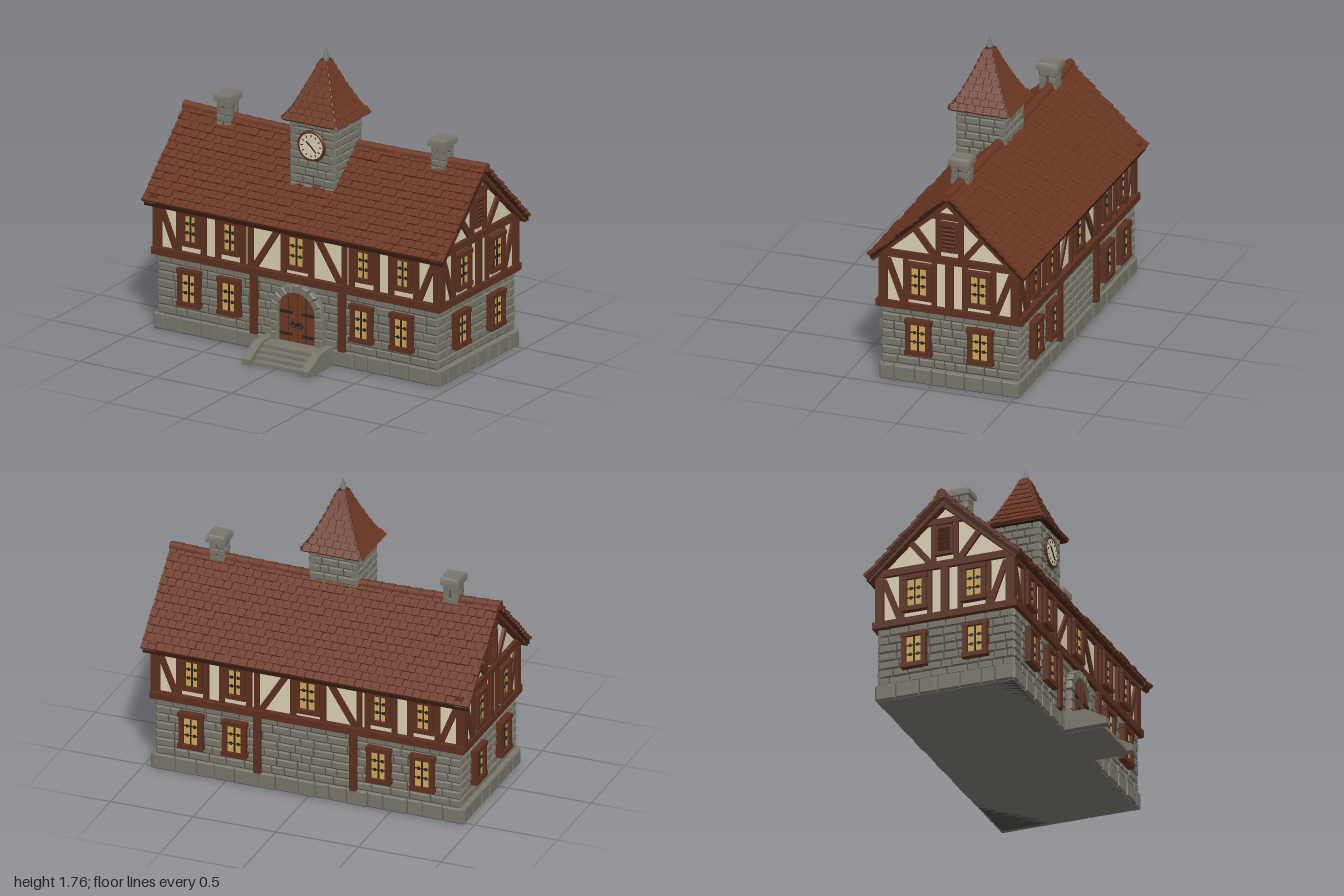
import * as THREE from 'three';
import { mergeGeometries } from 'three/addons/utils/BufferGeometryUtils.js';

const mat = (name, color) => Object.assign(new THREE.MeshStandardMaterial({ color }), { name });
const M = {
  stone: mat('stone', 0x78766a), mortar: mat('mortar', 0x4d4b43), plaster: mat('plaster', 0xd9cfb2),
  timber: mat('timber', 0x5c301f), roof: mat('roof tile', 0x6a3622), gap: mat('tile gap', 0x331a11),
  glass: mat('lit glass', 0xcfa75a), door: mat('door wood', 0x713a24), iron: mat('iron', 0x2c2521),
};
let seed = 7;
const rnd = () => (seed = (seed * 16807) % 2147483647) / 2147483647;

// Merge a list of geometries into one named mesh
function add(parent, name, material, geos) {
  const mesh = new THREE.Mesh(mergeGeometries(geos.map(g => (g.index ? g.toNonIndexed() : g))), material);
  mesh.name = name;
  parent.add(mesh);
  return mesh;
}
const box = (w, h, d, x, y, z) => new THREE.BoxGeometry(w, h, d).translate(x, y, z);
// Straight timber between two points on a wall
function beam(x1, y1, x2, y2, w, d, z) {
  const g = new THREE.BoxGeometry(w, Math.hypot(x2 - x1, y2 - y1), d);
  return g.rotateZ(-Math.atan2(x2 - x1, y2 - y1)).translate((x1 + x2) / 2, (y1 + y2) / 2, z);
}
// Stone with its outer (+z) face drawn in
function block(w, h, d, x, y, z, inset = 0.007) {
  const g = new THREE.BoxGeometry(w, h, d, 1, 1, 2), p = g.attributes.position;
  for (let i = 0; i < p.count; i++) {
    if (p.getZ(i) > 0.001) p.setXY(i, p.getX(i) * (1 - 2 * inset / w), p.getY(i) * (1 - 2 * inset / h));
    else if (p.getZ(i) > -0.001) p.setZ(i, d / 2 - inset);
  }
  g.computeVertexNormals();
  return g.translate(x, y, z);
}
// Courses of stones on a wall face
function courses(half, y0, y1, rows, z, wMin, wMax) {
  const out = [], h = (y1 - y0) / rows;
  for (let r = 0; r < rows; r++) {
    for (let x = -half; x < half - 0.005;) {
      let w = wMin + rnd() * (wMax - wMin);
      if (half - x - w < wMin * 0.7) w = half - x;
      out.push(block(w - 0.004, h - 0.004, 0.04, x + w / 2, y0 + (r + 0.5) * h, z - 0.02 + rnd() * 0.006));
      x += w;
    }
  }
  return out;
}
// Side profile (z, y) swept along x
function sweep(pts, x0, x1, steps = 1) {
  const s = new THREE.Shape(pts.map(([z, y]) => new THREE.Vector2(-z, y)));
  return new THREE.ExtrudeGeometry(s, { depth: x1 - x0, steps, bevelEnabled: false }).rotateY(Math.PI / 2).translate(x0, 0, 0);
}
// Roof tile lying on a slope that falls towards +z
const tile = (w, len, x, y, z, slope) =>
  new THREE.BoxGeometry(w, len, 0.017).rotateX(slope - Math.PI / 2 - 0.16).translate(x, y, z);
// Group whose +z points out of one wall
function side(parent, name, angle) {
  const g = new THREE.Group();
  g.name = name;
  g.rotation.y = angle;
  parent.add(g);
  return g;
}
function windows(parent, name, xs, y0, y1, w, z) {
  const frame = [], glass = [], bars = [], h = y1 - y0, yc = (y0 + y1) / 2, t = 0.027;
  for (const x of xs) {
    glass.push(box(w - t, h - t, 0.008, x, yc, z + 0.012));
    for (const s of [-1, 1]) {
      frame.push(box(t, h, 0.04, x + s * (w - t) / 2, yc, z + 0.012));
      frame.push(box(w + 0.012, t, 0.046, x, yc + s * (h - t) / 2, z + 0.012));
      bars.push(box(w - t, 0.006, 0.008, x, yc + s * h * 0.13, z + 0.016));
      for (const k of [-1, 1]) bars.push(box(0.014, 0.018, 0.008, x + k * w * 0.16, yc + s * h * 0.13, z + 0.017));
    }
    bars.push(box(0.009, h - t, 0.008, x, yc, z + 0.017));
  }
  add(parent, name + 'Glass', M.glass, glass);
  add(parent, name + 'Frames', M.timber, frame);
  add(parent, name + 'Bars', M.iron, bars);
}

export function createModel() {
  const model = new THREE.Group();
  model.name = 'townHall';
  const house = new THREE.Group();
  house.name = 'house';
  house.position.z = -0.108;
  model.add(house);
  add(house, 'wallCore', M.mortar, [box(1.83, 0.45, 0.81, 0, 0.225, 0)]);
  add(house, 'foundation', M.stone, [box(1.86, 0.09, 0.82, 0, 0.045, 0)]);
  add(house, 'plasterWalls', M.plaster,
    [sweep([[-0.4, 0.45], [0.4, 0.45], [0.4, 0.78], [0, 1.14], [-0.4, 0.78]], -0.93, 0.93)]);

  // Long walls
  for (const [name, angle] of [['frontWall', 0], ['backWall', Math.PI]]) {
    const g = side(house, name, angle), T = [];
    add(g, 'plinthStones', M.stone, courses(0.945, 0, 0.097, 1, 0.42, 0.08, 0.15));
    add(g, 'wallStones', M.stone, courses(0.922, 0.097, 0.45, 7, 0.412, 0.06, 0.13));
    windows(g, 'lowerWindow', [-0.7, -0.436, 0.436, 0.7], 0.175, 0.395, 0.14, 0.418);
    windows(g, 'upperWindow', [-0.7, -0.44, 0.44, 0.7], 0.53, 0.74, 0.125, 0.402);
    windows(g, 'middleWindow', [0], 0.52, 0.745, 0.15, 0.402);
    T.push(box(1.9, 0.042, 0.06, 0, 0.467, 0.408), box(1.88, 0.035, 0.05, 0, 0.757, 0.398));
    for (const s of [-1, 1]) {
      for (const x of [0.925, 0.782, 0.618, 0.522, 0.358, 0.31, 0.09]) {
        T.push(box(x > 0.9 ? 0.05 : 0.03, 0.3, 0.05, s * x, 0.61, 0.395));
      }
      T.push(beam(s * 0.905, 0.74, s * 0.8, 0.485, 0.034, 0.04, 0.395));
      T.push(beam(s * 0.125, 0.74, s * 0.285, 0.485, 0.036, 0.04, 0.395));
      T.push(box(0.042, 0.36, 0.05, s * 0.29 + (angle ? -0.012 : 0.012), 0.275, 0.412));
    }
    add(g, 'timberFrame', M.timber, T);
  }

  // Gable walls
  for (const [name, angle] of [['leftGable', Math.PI / 2], ['rightGable', -Math.PI / 2]]) {
    const g = side(house, name, angle), T = [];
    add(g, 'plinthStones', M.stone, courses(0.42, 0, 0.097, 1, 0.945, 0.08, 0.15));
    add(g, 'wallStones', M.stone, courses(0.41, 0.097, 0.45, 7, 0.922, 0.06, 0.13));
    windows(g, 'lowerWindow', [-0.185, 0.185], 0.175, 0.39, 0.145, 0.928);
    windows(g, 'upperWindow', [-0.178, 0.178], 0.52, 0.74, 0.145, 0.932);
    T.push(box(0.85, 0.04, 0.05, 0, 0.466, 0.928), box(0.9, 0.042, 0.05, 0, 0.778, 0.928));
    T.push(box(0.046, 0.28, 0.04, 0, 0.62, 0.93), box(0.24, 0.034, 0.04, 0, 1.045, 0.93));
    for (const s of [-1, 1]) {
      T.push(box(0.045, 0.31, 0.05, s * 0.395, 0.61, 0.922));
      T.push(box(0.028, 0.28, 0.04, s * 0.262, 0.61, 0.925), box(0.028, 0.28, 0.04, s * 0.092, 0.61, 0.925));
      T.push(beam(s * 0.37, 0.74, s * 0.275, 0.49, 0.034, 0.04, 0.925));
      T.push(box(0.028, 0.24, 0.04, s * 0.068, 0.915, 0.925));
      T.push(beam(s * 0.09, 0.8, s * 0.205, 0.945, 0.036, 0.04, 0.928));
      T.push(beam(s * 0.455, 0.745, 0, 1.15, 0.042, 0.07, 0.945));
    }
    // Louvred vent
    for (let i = 0; i < 6; i++) T.push(new THREE.BoxGeometry(0.08, 0.018, 0.012).rotateX(0.5).translate(0, 0.865 + i * 0.024, 0.943));
    for (const s of [-1, 1]) T.push(box(0.105, 0.02, 0.04, 0, 0.925 + s * 0.08, 0.938), box(0.016, 0.17, 0.04, s * 0.046, 0.925, 0.938));
    add(g, 'timberFrame', M.timber, T);
    add(g, 'ventBacking', M.iron, [box(0.09, 0.15, 0.008, 0, 0.925, 0.933)]);
  }

  // Main roof, with a ridge that sags in the middle
  const run = 0.462, rise = 0.415, slope = Math.atan2(rise, run), rows = 13, tiles = [];
  for (const turn of [0, Math.PI]) {
    for (let r = 0; r < rows; r++) {
      const t = (r + 0.5) / rows;
      for (let c = 0; c <= 40; c++) {
        const a = Math.max(-0.995, -1 + (c - (r % 2) * 0.5) * 0.05), b = Math.min(0.995, -1 + (c + 1 - (r % 2) * 0.5) * 0.05);
        if (b - a < 0.012) continue;
        const j = (rnd() - 0.5) * 0.008;
        tiles.push(tile(b - a - 0.005, 0.058, (a + b) / 2, 1.182 - t * rise + j * 0.5, t * run + j, slope).rotateY(turn));
      }
    }
  }
  const ridge = [];
  for (let i = 0; i < 25; i++) {
    ridge.push(new THREE.CylinderGeometry(0.03, 0.026, 0.078, 8).rotateZ(Math.PI / 2).translate(-0.96 + i * 0.08, 1.172, 0));
  }
  const deck = sweep([[0.455, 0.735], [0.455, 0.765], [0, 1.174], [-0.455, 0.765], [-0.455, 0.735], [0, 1.14]], -0.985, 0.985, 16);
  for (const mesh of [add(house, 'roofDeck', M.gap, [deck]), add(house, 'roofTiles', M.roof, tiles), add(house, 'ridgeTiles', M.roof, ridge)]) {
    const p = mesh.geometry.attributes.position;
    for (let i = 0; i < p.count; i++) {
      p.setY(i, p.getY(i) + 0.02 * p.getX(i) ** 2 * THREE.MathUtils.clamp((p.getY(i) - 0.77) / 0.4, 0, 1));
    }
  }

  // Chimneys
  for (const s of [-1, 1]) {
    const ch = side(model, 'chimney', 0);
    ch.position.set(s * 0.708, 0, -0.097);
    add(ch, 'chimneyCore', M.mortar, [box(0.08, 0.2, 0.095, 0, 1.19, 0)]);
    add(ch, 'chimneyCap', M.stone, [block(0.115, 0.13, 0.045, 0, 0, 0, 0.012).rotateX(-Math.PI / 2).translate(0, 1.303, 0)]);
    for (let k = 0; k < 4; k++) {
      const half = k % 2 ? 0.054 : 0.046, out = k % 2 ? 0.046 : 0.054;
      add(side(ch, 'chimneySide', k * Math.PI / 2), 'chimneyStones', M.stone, courses(half, 1.08, 1.285, 5, out - 0.004, 0.04, 0.07));
    }
  }

  // Clock tower
  const tower = side(model, 'clockTower', 0);
  add(tower, 'towerCore', M.mortar, [box(0.28, 0.45, 0.28, 0, 1.135, 0)]);
  const towerTiles = [];
  const profile = [[0.185, 1.35], [0.14, 1.41], [0.106, 1.48], [0.074, 1.55], [0.045, 1.62], [0.018, 1.69]];
  const radiusAt = y => {
    const i = Math.max(0, Math.min(4, profile.findIndex(q => q[1] > y) - 1)), [a, b] = [profile[i], profile[i + 1]];
    return [a[0] + (b[0] - a[0]) * (y - a[1]) / (b[1] - a[1]), Math.atan2(b[1] - a[1], a[0] - b[0])];
  };
  for (let k = 0; k < 4; k++) {
    const turn = k * Math.PI / 2;
    add(side(tower, 'towerSide', turn), 'towerStones', M.stone, courses(0.148, 0.93, 1.355, 9, 0.146, 0.05, 0.1));
    for (let r = 0; r < 9; r++) {
      const y = 1.368 + r * 0.036, [rad, sl] = radiusAt(y), n = Math.max(1, Math.round(rad * 2 / 0.05)), w = rad * 2 / n;
      for (let c = 0; c < n; c++) {
        towerTiles.push(tile(w - 0.004, 0.048, -rad + (c + 0.5) * w, y + (rnd() - 0.5) * 0.004, rad, sl).rotateY(turn));
      }
    }
  }
  add(tower, 'towerRoofTiles', M.roof, towerTiles);
  add(tower, 'towerRoofBase', M.gap, [box(0.35, 0.016, 0.35, 0, 1.352, 0)].concat(profile.slice(1).map(([r, y], i) =>
    new THREE.CylinderGeometry(r * Math.SQRT2, profile[i][0] * Math.SQRT2, y - profile[i][1], 4).rotateY(Math.PI / 4).translate(0, (y + profile[i][1]) / 2, 0))));
  add(tower, 'finial', M.stone, [new THREE.CylinderGeometry(0.002, 0.028, 0.1, 8).translate(0, 1.705, 0)]);

  // Clock
  const clock = side(tower, 'clock', 0);
  clock.position.set(0, 1.212, 0.15);
  add(clock, 'clockFace', M.plaster, [new THREE.CylinderGeometry(0.08, 0.08, 0.02, 32).rotateX(Math.PI / 2)]);
  add(clock, 'clockRim', M.timber, [new THREE.TorusGeometry(0.081, 0.012, 8, 32)]);
  const marks = [beam(0, 0, -0.03, 0.025, 0.007, 0.006, 0.012), beam(0, 0, 0.035, -0.035, 0.005, 0.006, 0.012)];
  for (let i = 0; i < 12; i++) marks.push(box(0.005, 0.014, 0.006, 0, 0.06, 0.009).rotateZ(i * Math.PI / 6));
  add(clock, 'clockHandsAndMarks', M.iron, marks);

  // Arched door with stone surround
  const door = side(model, 'door', 0);
  door.position.set(0.012, 0, 0.312);
  const arch = new THREE.Shape();
  arch.moveTo(-0.118, 0.08).lineTo(0.118, 0.08).lineTo(0.118, 0.27).absarc(0, 0.27, 0.118, 0, Math.PI, false);
  add(door, 'doorPanel', M.door, [new THREE.ExtrudeGeometry(arch, { depth: 0.012, bevelEnabled: false, curveSegments: 16 })]);
  const stones = [], iron = [];
  for (let i = 0; i < 9; i++) {
    const a = (i - 4) * Math.PI / 9;
    stones.push(block(0.05, 0.052, 0.04, 0, 0.145, 0.01).rotateZ(a).translate(0, 0.27, 0));
  }
  for (const s of [-1, 1]) {
    for (let i = 0; i < 3; i++) stones.push(block(0.052, 0.058, 0.04, s * 0.145, 0.115 + i * 0.06, 0.01));
    for (const y of [0.14, 0.27]) iron.push(box(0.08, 0.016, 0.008, s * 0.072, y, 0.015));
    iron.push(new THREE.TorusGeometry(0.016, 0.005, 6, 12).translate(s * 0.022, 0.2, 0.016));
    iron.push(box(0.003, 0.28, 0.005, s * 0.058, 0.225, 0.011));
  }
  iron.push(box(0.005, 0.3, 0.005, 0, 0.235, 0.011), box(0.07, 0.012, 0.008, 0, 0.205, 0.014));
  add(door, 'doorSurround', M.stone, stones);
  add(door, 'doorIronwork', M.iron, iron);

  // Entrance steps with sloping cheek walls
  const steps = [];
  for (let i = 0; i < 4; i++) {
    steps.push(block(0.35, 0.24 - i * 0.0 + i * 0.035 - 0.11, 0.025, 0, 0, 0, 0.004).rotateX(-Math.PI / 2)
      .translate(0.02, 0.083 - i * 0.024, 0.3 + (0.13 + i * 0.035) / 2), box(0.35, 0.085 - i * 0.024, 0.12 + i * 0.035, 0.02, (0.085 - i * 0.024) / 2, 0.36 + i * 0.0175));
  }
  add(model, 'steps', M.stone, steps);
  const cheek = [[0.29, 0], [0.57, 0], [0.57, 0.035], [0.44, 0.108], [0.29, 0.108]];
  add(model, 'stepWalls', M.stone, [sweep(cheek, -0.2, -0.148), sweep(cheek, 0.188, 0.24)]);
  return model;
}
